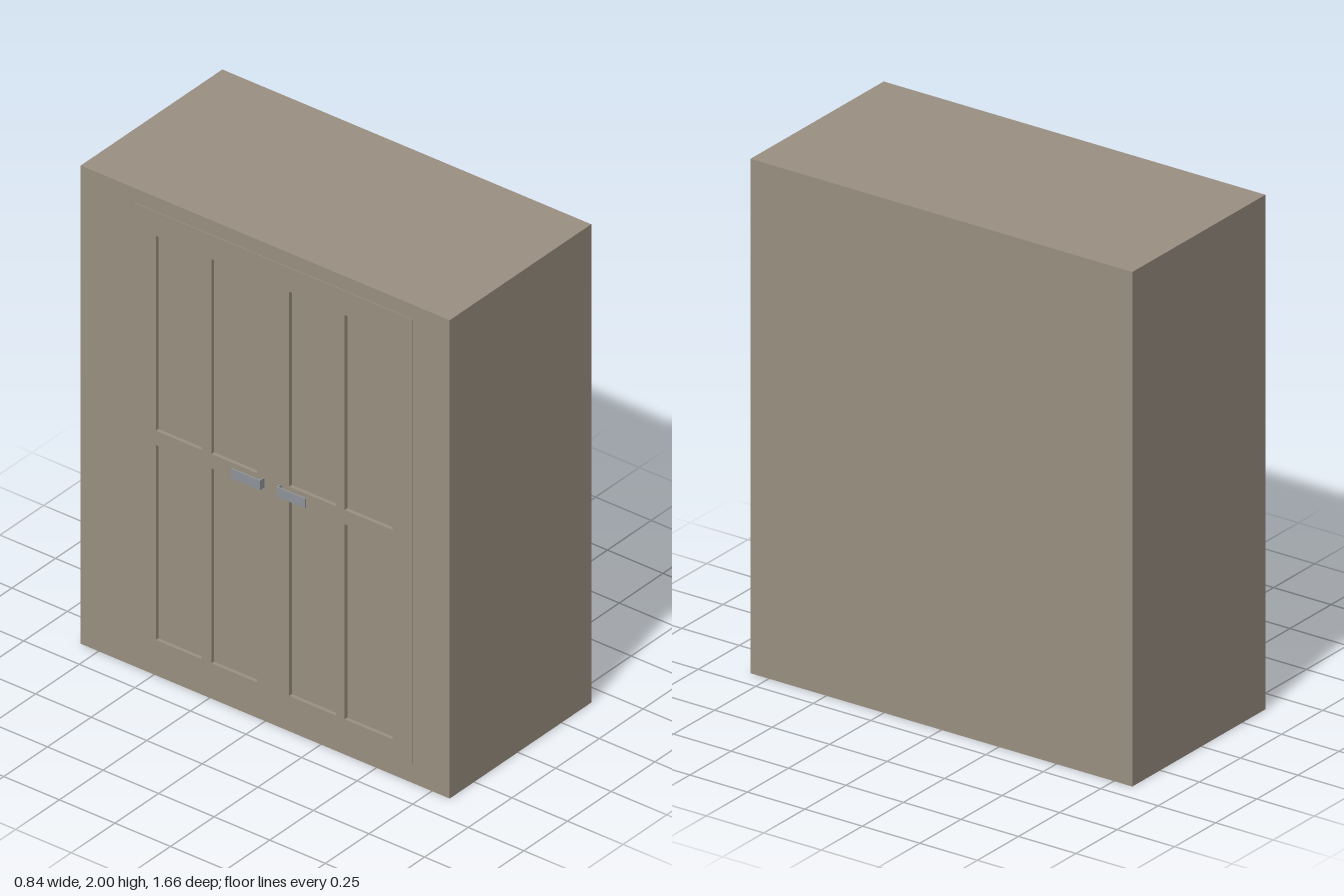
import * as THREE from 'three';

const WOOD = new THREE.MeshStandardMaterial({ color: 0x9b9082 });
const METAL = new THREE.MeshStandardMaterial({ color: 0x90959a });

// Box given by its minimum and maximum corners
function box(name, min, max, material) {
  const size = max.map((v, i) => v - min[i]);
  const mesh = new THREE.Mesh(new THREE.BoxGeometry(...size), material);
  mesh.position.set(...max.map((v, i) => (v + min[i]) / 2));
  mesh.name = name;
  return mesh;
}

// Rectangle in the z-y plane
function rect(Type, z0, z1, y0, y1) {
  const path = new Type();
  path.moveTo(z0, y0);
  path.lineTo(z1, y0);
  path.lineTo(z1, y1);
  path.lineTo(z0, y1);
  path.closePath();
  return path;
}

// Recessed panels: four columns by two rows
const COLUMNS = [[-0.49, -0.285], [-0.24, -0.035], [0.11, 0.32], [0.36, 0.575]];
const ROWS = [[0.15, 0.965], [1.025, 1.84]];

// Sheet facing -x, with the panel openings cut through it
function panelledSheet(name, z0, z1, y0, y1, xOuter, xInner) {
  const shape = rect(THREE.Shape, z0, z1, y0, y1);
  for (const [a, b] of COLUMNS)
    for (const [c, d] of ROWS) shape.holes.push(rect(THREE.Path, a, b, c, d));
  const geometry = new THREE.ExtrudeGeometry(shape, { depth: xInner - xOuter, bevelEnabled: false });
  geometry.rotateY(-Math.PI / 2); // shape x -> z, depth -> -x
  geometry.translate(xInner, 0, 0);
  const mesh = new THREE.Mesh(geometry, WOOD);
  mesh.name = name;
  return mesh;
}

// L-shaped pull: a short stem and a flat grip running along z
function handle(name, zStem, zEnd, xOuter) {
  const group = new THREE.Group();
  group.name = name;
  const t = 0.006;
  const dir = Math.sign(zEnd - zStem);
  const stem = [zStem, zStem + dir * t].sort((a, b) => a - b);
  const grip = [zStem, zEnd].sort((a, b) => a - b);
  group.add(
    box('handleStem', [xOuter + t, 0.98, stem[0]], [-0.388, 1.02, stem[1]], METAL),
    box('handleGrip', [xOuter, 0.98, grip[0]], [xOuter + t, 1.02, grip[1]], METAL)
  );
  return group;
}

export function createModel() {
  const model = new THREE.Group();
  model.name = 'wardrobe';

  // Carcass behind the panelled face
  model.add(box('carcass', [-0.378, 0, -0.83], [0.42, 2, 0.83], WOOD));

  // Face frame and the slightly proud door front
  model.add(panelledSheet('faceFrame', -0.83, 0.83, 0, 2, -0.39, -0.378));
  model.add(panelledSheet('doorFront', -0.59, 0.665, 0.08, 1.94, -0.393, -0.39));

  // Handles
  model.add(handle('backHandle', 0, -0.13, -0.42));
  model.add(handle('frontHandle', 0.07, 0.2, -0.416));

  return model;
}
